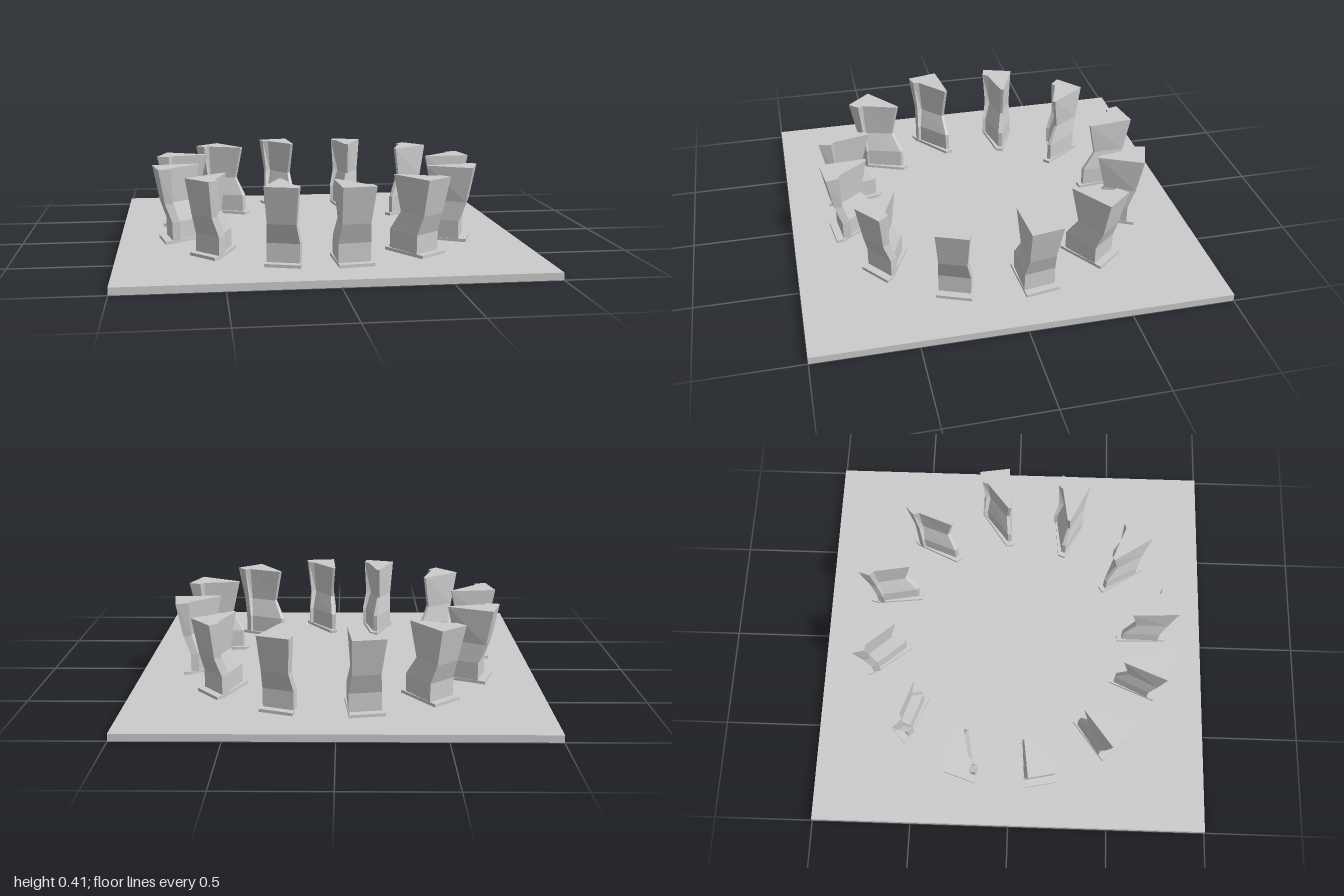
import * as THREE from 'three';

const material = new THREE.MeshStandardMaterial({ color: 0xcccccc, flatShading: true });

// Lofts a solid through horizontal sections { y, pts: [[x, z], ...] }, bottom to top.
function loft(sections) {
  const pos = [];
  const n = sections[0].pts.length;
  const corner = (s, i) => [s.pts[i % n][0], s.y, s.pts[i % n][1]];
  for (let k = 0; k < sections.length - 1; k++) {
    const lo = sections[k], hi = sections[k + 1];
    for (let i = 0; i < n; i++) {
      pos.push(...corner(lo, i), ...corner(hi, i), ...corner(hi, i + 1));
      pos.push(...corner(lo, i), ...corner(hi, i + 1), ...corner(lo, i + 1));
    }
  }
  const cap = (s, up) => {
    const contour = s.pts.map(p => new THREE.Vector2(...p));
    for (const tri of THREE.ShapeUtils.triangulateShape(contour, [])) {
      const facesUp = THREE.ShapeUtils.area(tri.map(i => contour[i])) < 0;
      if (facesUp !== up) tri.reverse();
      tri.forEach(i => pos.push(...corner(s, i)));
    }
  };
  cap(sections[0], false);
  cap(sections[sections.length - 1], true);
  const g = new THREE.BufferGeometry();
  g.setAttribute('position', new THREE.Float32BufferAttribute(pos, 3));
  g.computeVertexNormals();
  return g;
}

export function createModel() {
  const model = new THREE.Group();
  model.name = 'pillarRing';

  // Square ground slab
  const slab = new THREE.Mesh(new THREE.BoxGeometry(2, 0.035, 2), material);
  slab.name = 'groundSlab';
  slab.position.y = 0.0175;
  model.add(slab);

  // Thin wedge-shaped plinth: x is sideways, z is distance from the ring centre
  const plinthOutline = [[-0.064, 0.553], [-0.026, 0.553], [0.08, 0.767], [0.083, 0.805], [-0.087, 0.805]];
  const plinthGeometry = loft([0.034, 0.05].map(y => ({ y, pts: plinthOutline })));

  // Wedge pillar with a stepped flank, pinched at the waist and flaring outward
  const foot = [[-0.057, 0.577], [-0.036, 0.577], [0.055, 0.735], [0.073, 0.728], [0.073, 0.767], [-0.083, 0.767]];
  const waist = [[-0.052, 0.64], [-0.038, 0.64], [0.035, 0.763], [0.062, 0.758], [0.062, 0.8], [-0.074, 0.8]];
  const top = [[-0.06, 0.6], [-0.045, 0.6], [0.047, 0.76], [0.076, 0.77], [0.08, 0.833], [-0.08, 0.833]];
  const pillarGeometry = loft([
    { y: 0.05, pts: foot },
    { y: 0.14, pts: foot },
    { y: 0.235, pts: waist },
    { y: 0.41, pts: top },
  ]);

  // Twelve pillars around the ring
  for (let i = 0; i < 12; i++) {
    const unit = new THREE.Group();
    unit.name = `standingPillar${i + 1}`;
    const plinth = new THREE.Mesh(plinthGeometry, material);
    plinth.name = 'plinth';
    const pillar = new THREE.Mesh(pillarGeometry, material);
    pillar.name = 'pillar';
    unit.add(plinth, pillar);
    unit.rotation.y = THREE.MathUtils.degToRad(7.4 + 30.5 * i);
    model.add(unit);
  }
  return model;
}
